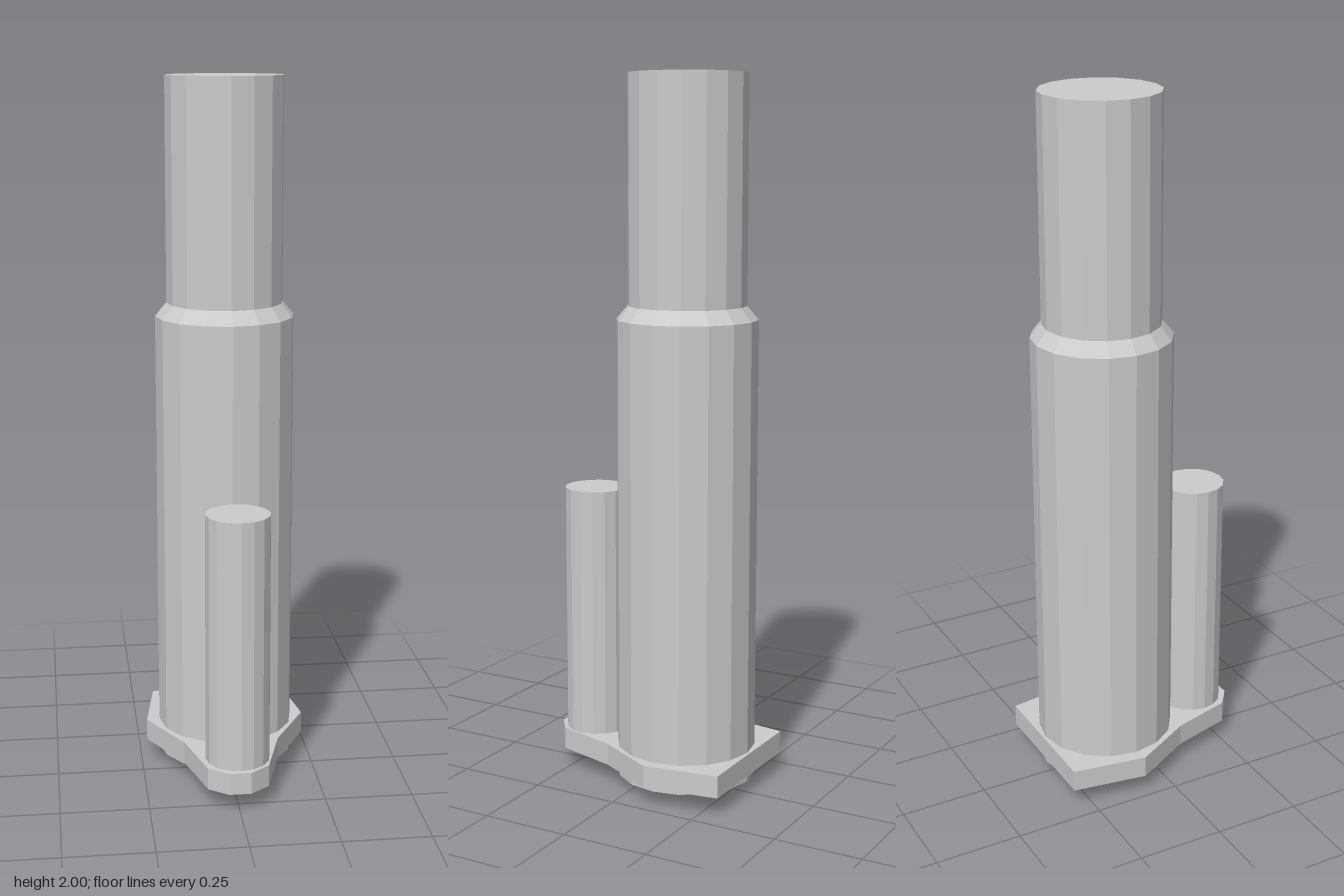
import * as THREE from 'three';

const SIDES = 16;

export function createModel() {
  const model = new THREE.Group();
  const material = new THREE.MeshStandardMaterial({ color: 0xcccccc, flatShading: true });

  const add = (name, geometry, x, y, z) => {
    const mesh = new THREE.Mesh(geometry, material);
    mesh.name = name;
    mesh.position.set(x, y, z);
    model.add(mesh);
  };

  // Stepped main cylinder with a shallow domed foot, [radius, height]
  const profile = [
    [0, 0], [0.115, 0.007], [0.197, 0.033], [0.197, 1.337],
    [0.165, 1.375], [0.165, 2], [0, 2],
  ].map(([r, y]) => new THREE.Vector2(r, y));
  add('mainCylinder', new THREE.LatheGeometry(profile, SIDES), 0.002, 0, -0.099);

  // Small side cylinder standing on the plate
  const sideHeight = 0.74;
  add('sideCylinder', new THREE.CylinderGeometry(0.091, 0.091, sideHeight, SIDES),
    0.005, 0.098 + sideHeight / 2, 0.196);

  // Base plate: half outline [x, z] mirrored across x = 0
  const half = [[0.2, -0.304], [0.233, -0.09], [0.137, 0.083], [0.086, 0.26], [0.031, 0.302]];
  const outline = [...half, ...half.map(([x, z]) => [-x, z]).reverse()];
  const shape = new THREE.Shape(outline.map(([x, z]) => new THREE.Vector2(x, z)));
  const plate = new THREE.ExtrudeGeometry(shape, { depth: 0.063, bevelEnabled: false });
  plate.rotateX(Math.PI / 2); // outline lies flat, thickness runs down
  add('basePlate', plate, 0, 0.118, 0);

  return model;
}
